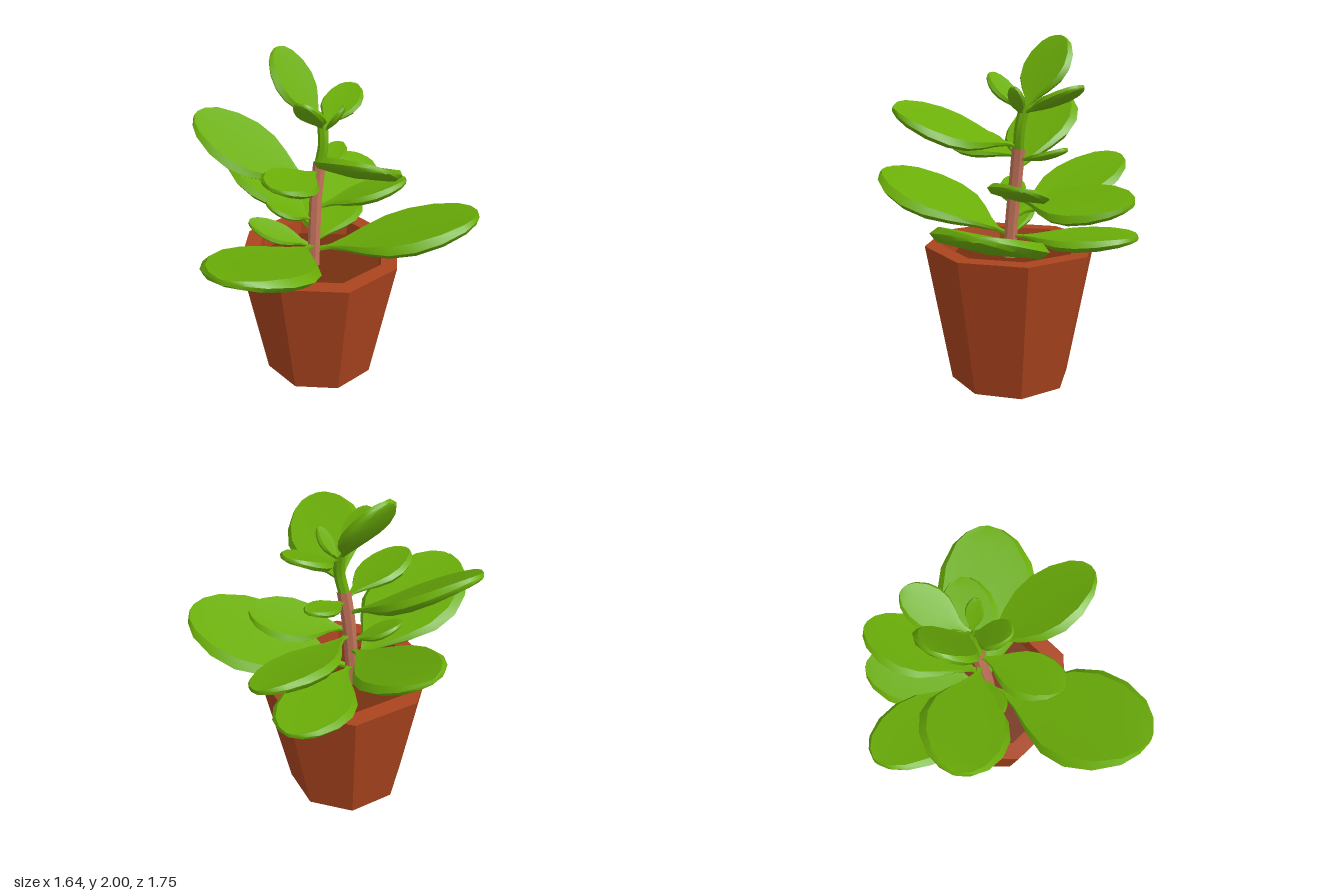
import * as THREE from 'three';
import { toCreasedNormals } from 'three/addons/utils/BufferGeometryUtils.js';

const V = (x, y, z) => new THREE.Vector3(x, y, z);
const UP = V(0, 1, 0);

// Centre of the leaning stem at height y
const stemAt = (y) => V(
  -0.08 + 0.025 * Math.exp(-(((y - 1.48) / 0.12) ** 2)), y,
  -0.1 - 0.1 * ((y - 0.7) / 0.9) ** 1.5);

// Leaf outline: thin stalk, swelling to full width, then a rounded end
const FULL = 0.58;
function outline(t) {
  if (t > FULL) return Math.sqrt(Math.max(0.01, 1 - ((t - FULL) / (1 - FULL)) ** 2));
  return Math.sin(Math.PI / 2 * Math.max(0, (t - 0.08) / (FULL - 0.08))) ** 1.3;
}
const STATIONS = [0, 0.1, 0.2, 0.32, 0.45, 0.6, 0.76, 0.9, 0.97, 1];

// Leaf cross-section: slightly dished top, rounded rim, full underside
const SECTION = [[-1, 0], [-0.86, 0.58], [0, 0.42], [0.86, 0.58], [1, 0], [0.85, -0.55], [0, -0.82], [-0.85, -0.55]];

// Fleshy leaf from base to tip, rolled about its own length
function leafGeometry(base, tip, width, roll) {
  const dir = tip.clone().sub(base);
  const length = dir.length();
  dir.normalize();
  const level = dir.clone().cross(UP).normalize();
  const side = dir.clone().cross(UP.clone().addScaledVector(level, roll)).normalize();
  const up = side.clone().cross(dir);
  const half = 0.018 + width * 0.088;
  const n = SECTION.length;
  const pos = [];
  const index = [];
  STATIONS.forEach((t, i) => {
    const w = outline(t);
    const sag = -0.02 * length * Math.sin(Math.PI * t);
    const halfWidth = Math.max(w * width / 2, 0.016);
    const thickness = half * (0.25 + 0.75 * w);
    for (const [u, v] of SECTION) {
      const p = base.clone().addScaledVector(dir, t * length)
        .addScaledVector(side, u * halfWidth)
        .addScaledVector(up, v * thickness + sag);
      pos.push(p.x, p.y, p.z);
    }
    if (i === 0) return;
    for (let j = 0; j < n; j++) {
      const k = (j + 1) % n;
      const a = (i - 1) * n + j, b = (i - 1) * n + k, c = i * n + k, d = i * n + j;
      index.push(a, b, c, a, c, d);
    }
  });
  // close the tip
  const last = (STATIONS.length - 1) * n;
  for (let j = 1; j < n - 1; j++) index.push(last, last + j, last + j + 1);
  const g = new THREE.BufferGeometry();
  g.setAttribute('position', new THREE.Float32BufferAttribute(pos, 3));
  g.setIndex(index);
  return toCreasedNormals(g, 0.75);
}

export function createModel() {
  const material = (name, color, opts = {}) => Object.assign(
    new THREE.MeshStandardMaterial({ color, ...opts }), { name });
  const clay = material('terracotta', 0xab441e, { flatShading: true });
  const earth = material('soil', 0x75300f, { flatShading: true });
  const bark = material('bark', 0xc4745a);
  const green = material('leaf green', 0x6bae08);

  const group = new THREE.Group();
  group.name = 'pottedPlant';
  const add = (name, geometry, mat) => {
    const mesh = new THREE.Mesh(geometry, mat);
    mesh.name = name;
    group.add(mesh);
    return mesh;
  };

  // Eight-sided pot with a flat rim, filled with soil
  const profile = [[0, 0], [0.35, 0], [0.502, 0.815], [0.4, 0.815], [0.385, 0.7]];
  add('pot', new THREE.LatheGeometry(profile.map(([r, y]) => new THREE.Vector2(r, y)), 8), clay)
    .position.set(-0.05, 0, -0.13);
  add('soil', new THREE.CylinderGeometry(0.388, 0.388, 0.02, 8), earth)
    .position.set(-0.05, 0.71, -0.13);

  // Stem: woody below, green above
  const stem = (name, heights, radius, mat) => add(name, toCreasedNormals(
    new THREE.TubeGeometry(new THREE.CatmullRomCurve3(heights.map(stemAt)), 8, radius, 7), 0.6), mat);
  stem('woodyStem', [0.7, 0.95, 1.2, 1.37], 0.039, bark);
  stem('greenStem', [1.35, 1.48, 1.61], 0.032, green);

  // Leaf: name, height on the stem, tip, width, roll
  const leaf = (name, y, tip, width, roll = 0) =>
    add(name, leafGeometry(stemAt(y), tip, width, roll), green);

  // Large lower leaves
  leaf('frontLargeLeaf', 0.85, V(-0.09, 1.15, 0.87), 0.62);
  leaf('leftLargeLeaf', 0.82, V(0.8, 1.08, -0.51), 0.62, -0.1);
  leaf('backLowerLeaf', 0.85, V(-0.25, 0.91, -0.83), 0.43);
  leaf('rightLowerLeaf', 0.96, V(-0.81, 1.27, -0.42), 0.46, 0.16);
  leaf('backUpperLeaf', 1.07, V(-0.09, 1.13, -0.87), 0.44, 0.32);
  // Middle leaves
  leaf('leftBackLeaf', 1.1, V(0.35, 1.23, -0.47), 0.34, -0.2);
  leaf('rightUpperLeaf', 1.22, V(-0.77, 1.62, 0.04), 0.48, -0.2);
  leaf('frontSmallLeaf', 1.32, V(-0.1, 1.42, 0.35), 0.32, -0.22);
  leaf('leftUpperLeaf', 1.38, V(0.5, 1.61, 0.26), 0.45, -0.35);
  // Small side shoots
  leaf('rightSmallLowLeaf', 0.84, V(-0.45, 0.99, 0.03), 0.18, -0.2);
  leaf('rightSmallMiddleLeaf', 1.02, V(-0.31, 1.15, 0.05), 0.17, -0.1);
  leaf('backSmallLeaf', 1.3, V(-0.08, 1.385, -0.47), 0.17);
  // Crown
  leaf('backTopLeaf', 1.57, V(-0.05, 1.73, -0.57), 0.25);
  leaf('rightTopLeaf', 1.57, V(-0.375, 1.99, -0.23), 0.34);
  leaf('frontTopLeaf', 1.57, V(-0.08, 1.785, 0.04), 0.19);
  leaf('leftTinyLeaf', 1.55, V(0.06, 1.72, -0.21), 0.1);

  return group;
}
